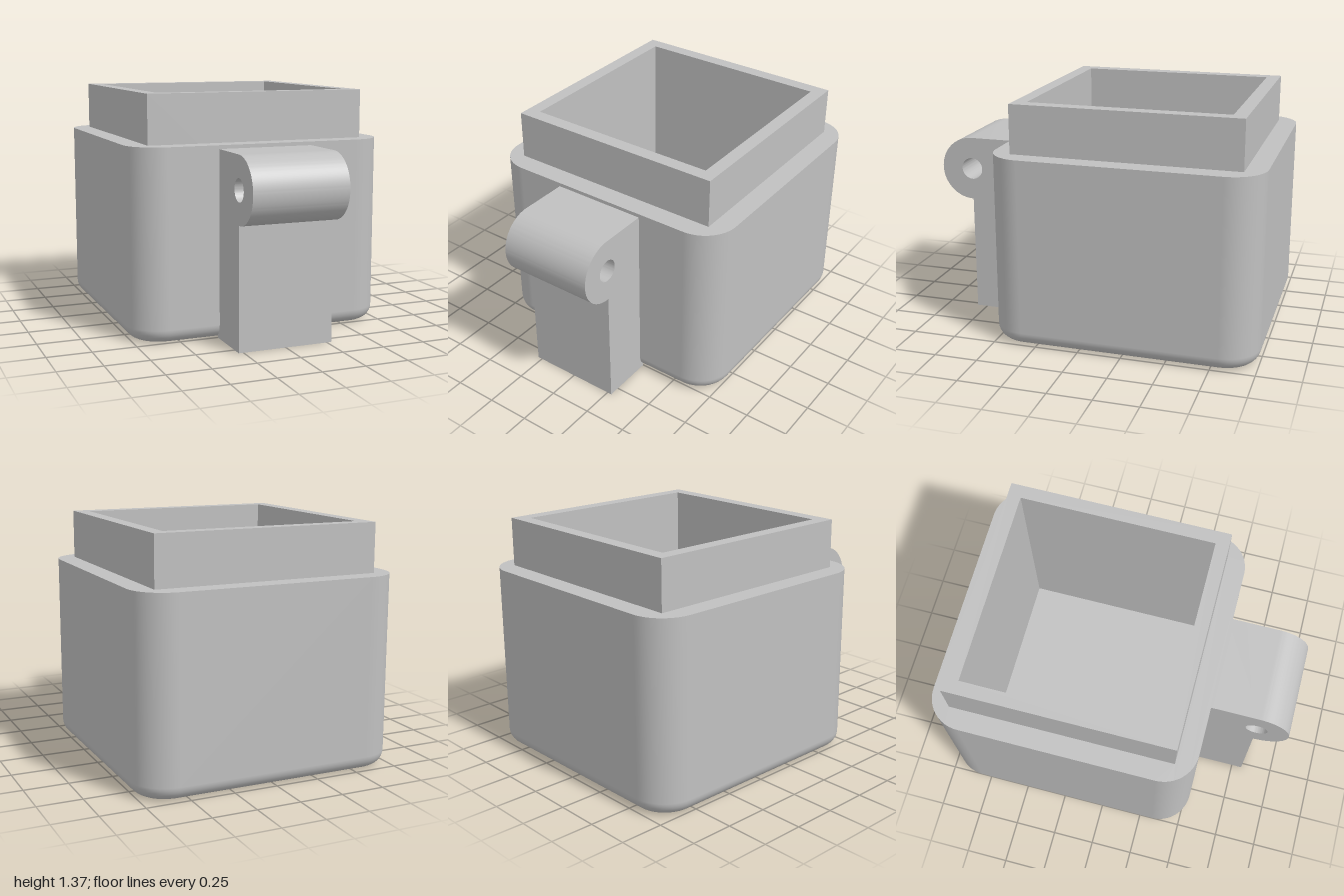
import * as THREE from 'three';
import { toCreasedNormals } from 'three/addons/utils/BufferGeometryUtils.js';

const CENTER_Z = -0.235; // middle of the container
const HALF = 0.765, CORNER = 0.2, FILLET = 0.08, BODY_TOP = 1.09;
const COLLAR = 0.648, CAVITY = 0.57, FLOOR = 0.12, COLLAR_TOP = 1.37;

// Points [x, z, angle] round a rounded square
function outline(half, radius, steps = 12) {
  const points = [];
  for (let corner = 0; corner < 4; corner++) {
    for (let i = 0; i <= steps; i++) {
      const a = (corner + i / steps) * Math.PI / 2;
      const sx = corner === 0 || corner === 3 ? 1 : -1;
      const sz = corner < 2 ? 1 : -1;
      points.push([sx * (half - radius) + radius * Math.cos(a), sz * (half - radius) + radius * Math.sin(a), a]);
    }
  }
  return points;
}

function squarePath(half) {
  return [[-1, -1], [1, -1], [1, 1], [-1, 1]].map(([x, y]) => new THREE.Vector2(x * half, y * half));
}

function roundedShape(half, radius) {
  return new THREE.Shape(outline(half, radius).map(([x, z]) => new THREE.Vector2(x, z)));
}

// Smooth outer wall with a filleted bottom edge, from stacked outlines
function wallGeometry() {
  const rows = [];
  for (let i = 0; i <= 8; i++) {
    const t = (1 - i / 8) * Math.PI / 2;
    rows.push({ y: FILLET * (1 - Math.sin(t)), inset: FILLET * (1 - Math.cos(t)), t });
  }
  rows.push({ y: BODY_TOP, inset: 0, t: 0 });
  const positions = [], normals = [], indices = [];
  let count = 0;
  rows.forEach(({ y, inset, t }, r) => {
    const ring = outline(HALF - inset, CORNER - inset);
    count = ring.length;
    ring.forEach(([x, z, a], i) => {
      positions.push(x, y, z);
      normals.push(Math.cos(a) * Math.cos(t), -Math.sin(t), Math.sin(a) * Math.cos(t));
      if (r === 0) return;
      const next = (i + 1) % count;
      const lo = (r - 1) * count, hi = r * count;
      indices.push(lo + i, hi + i, lo + next, hi + i, hi + next, lo + next);
    });
  });
  const geometry = new THREE.BufferGeometry();
  geometry.setAttribute('position', new THREE.Float32BufferAttribute(positions, 3));
  geometry.setAttribute('normal', new THREE.Float32BufferAttribute(normals, 3));
  geometry.setIndex(indices);
  return geometry;
}

export function createModel() {
  const model = new THREE.Group();
  model.name = 'hingedContainer';
  const grey = new THREE.MeshStandardMaterial({ color: 0xc0c0c0 });
  grey.name = 'plainGrey';

  const add = (name, geometry, parent) => {
    const mesh = new THREE.Mesh(geometry, grey);
    mesh.name = name;
    parent.add(mesh);
    return mesh;
  };

  // Container
  const container = new THREE.Group();
  container.name = 'container';
  container.position.z = CENTER_Z;
  model.add(container);

  add('outerWall', wallGeometry(), container);
  add('underside', new THREE.ShapeGeometry(roundedShape(HALF - FILLET, CORNER - FILLET)).rotateX(Math.PI / 2), container);

  // Flat shoulder round the collar
  const shoulder = roundedShape(HALF, CORNER);
  shoulder.holes.push(new THREE.Path(squarePath(COLLAR)));
  add('shoulder', new THREE.ShapeGeometry(shoulder).rotateX(-Math.PI / 2), container).position.y = BODY_TOP;

  // Square sleeve: lines the cavity and rises above the shoulder as the collar
  const sleeve = new THREE.Shape(squarePath(COLLAR));
  sleeve.holes.push(new THREE.Path(squarePath(CAVITY)));
  const sleeveGeometry = new THREE.ExtrudeGeometry(sleeve, { depth: COLLAR_TOP - FLOOR, bevelEnabled: false });
  add('collar', sleeveGeometry.rotateX(-Math.PI / 2), container).position.y = FLOOR;
  add('cavityFloor', new THREE.PlaneGeometry(2 * CAVITY, 2 * CAVITY).rotateX(-Math.PI / 2), container).position.y = FLOOR;

  // Hinge block: side profile (z, y) with a round knuckle and a pin hole
  const pinZ = 0.812, pinY = 0.881, knuckle = 0.188, halfWidth = 0.277;
  const profile = new THREE.Shape();
  profile.moveTo(0.5, 0);
  profile.lineTo(pinZ, 0);
  profile.lineTo(pinZ, pinY - knuckle);
  profile.absarc(pinZ, pinY, knuckle, -Math.PI / 2, Math.PI / 2, false);
  profile.lineTo(0.5, pinY + knuckle);
  profile.closePath();
  const pinHole = new THREE.Path();
  pinHole.absarc(pinZ, pinY, 0.064, 0, Math.PI * 2, true);
  profile.holes.push(pinHole);
  const hinge = new THREE.ExtrudeGeometry(profile, { depth: 2 * halfWidth, bevelEnabled: false, curveSegments: 32 });
  hinge.rotateY(-Math.PI / 2).translate(halfWidth, 0, 0);
  add('hingeBlock', toCreasedNormals(hinge, 0.6), model);

  return model;
}
